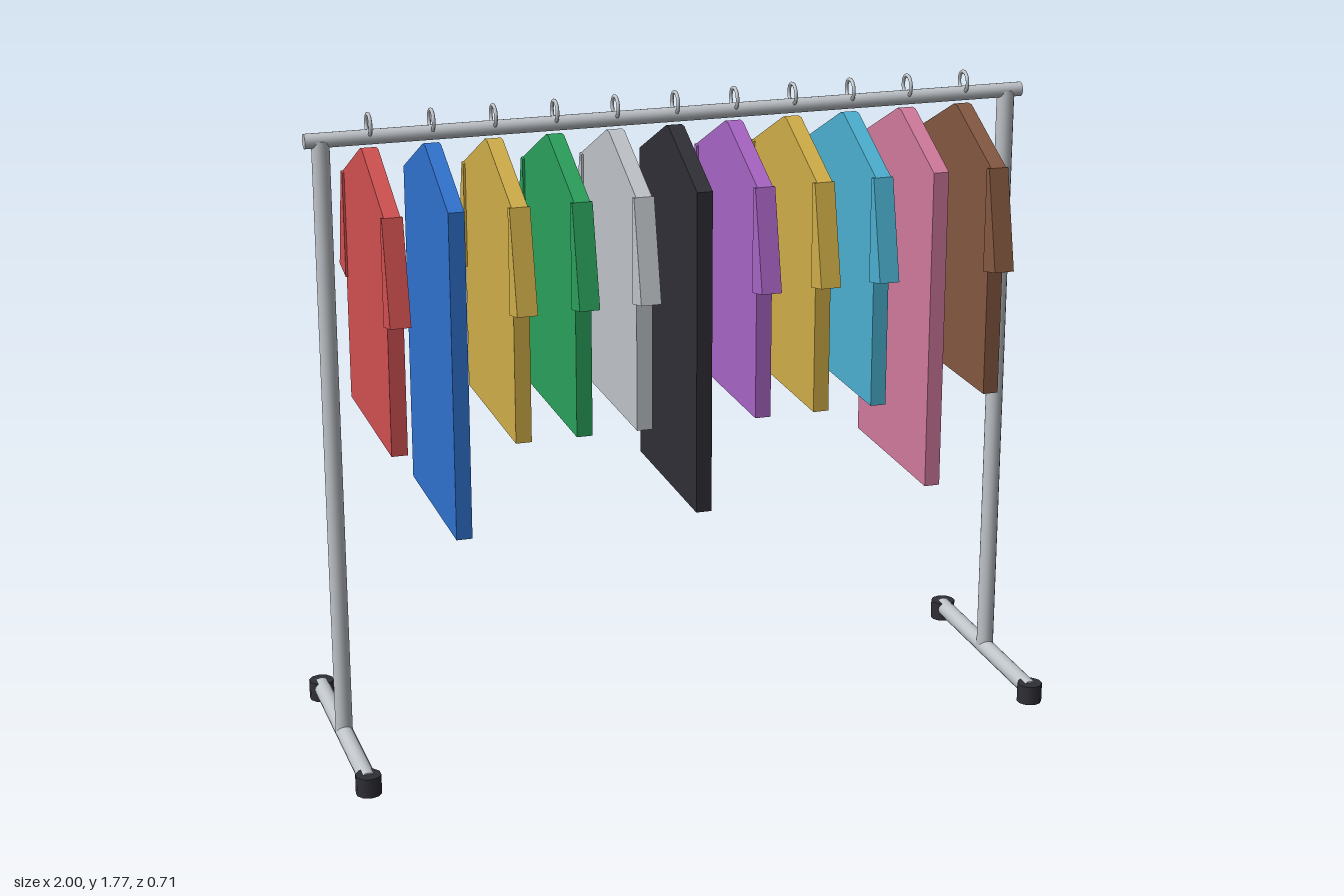
import * as THREE from 'three';

const mat = (name, color) => {
  const m = new THREE.MeshStandardMaterial({ color });
  m.name = name;
  return m;
};

export function createModel() {
  const root = new THREE.Group();
  root.name = 'clothesRack';

  const steel = mat('light grey', 0xbfc4c9);
  const black = mat('black', 0x2f2f36);
  const red = mat('red', 0xd15050);
  const blue = mat('blue', 0x3072cf);
  const yellow = mat('yellow', 0xd0ae48);
  const green = mat('green', 0x2aa05c);
  const purple = mat('purple', 0xa864c4);
  const cyan = mat('cyan', 0x4cb0d0);
  const pink = mat('pink', 0xd07a9b);
  const brown = mat('brown', 0x845841);

  const add = (parent, name, geometry, material, x = 0, y = 0, z = 0) => {
    const mesh = new THREE.Mesh(geometry, material);
    mesh.name = name;
    mesh.position.set(x, y, z);
    parent.add(mesh);
    return mesh;
  };

  // Flat panel drawn in (z, y) and given a thickness centred on x
  const panel = (points, thickness) => {
    const shape = new THREE.Shape(points.map(([z, y]) => new THREE.Vector2(z, y)));
    const g = new THREE.ExtrudeGeometry(shape, { depth: thickness, bevelEnabled: false });
    g.translate(0, 0, -thickness / 2);
    g.rotateY(-Math.PI / 2);
    return g;
  };

  // Frame: hanging bar, posts, base rails and rubber feet
  const bar = new THREE.CylinderGeometry(0.02, 0.02, 2, 16).rotateZ(Math.PI / 2);
  add(root, 'hangingBar', bar, steel, 0, 1.705, 0);
  const post = new THREE.CylinderGeometry(0.024, 0.024, 1.67, 16);
  const rail = new THREE.CylinderGeometry(0.024, 0.024, 0.64, 16).rotateX(Math.PI / 2);
  const foot = new THREE.CylinderGeometry(0.035, 0.035, 0.055, 10);
  for (const side of [-1, 1]) {
    const x = side * 0.957;
    add(root, 'post', post, steel, x, 0.87, 0);
    add(root, 'baseRail', rail, steel, x, 0.036, 0);
    for (const end of [-1, 1]) add(root, 'foot', foot, black, x, 0.0275, end * 0.318);
  }

  // Garment bodies: short shirt and long dress share the shoulder line
  const body = (hem) => panel([
    [-0.255, hem], [0.255, hem], [0.255, 1.555],
    [0.012, 1.674], [-0.012, 1.674], [-0.255, 1.555],
  ], 0.043);
  const shirtBody = body(0.917);
  const dressBody = body(0.665);

  // Sleeves, slightly thicker than the body
  const sleeve = panel([
    [0.238, 1.552], [0.238, 1.264], [0.317, 1.281], [0.255, 1.555],
  ], 0.055);

  const hook = new THREE.TorusGeometry(0.028, 0.005, 8, 20).rotateY(Math.PI / 2);

  const garments = [red, blue, yellow, green, steel, black, purple, yellow, cyan, pink, brown];
  const longOnes = [blue, black, pink];
  garments.forEach((material, i) => {
    const isLong = longOnes.includes(material);
    const garment = new THREE.Group();
    garment.name = isLong ? 'dress' : 'shirt';
    garment.position.x = (i - 5) * 0.166;
    root.add(garment);
    add(garment, 'hangerHook', hook, steel, 0, 1.737, 0);
    add(garment, 'garmentBody', isLong ? dressBody : shirtBody, material);
    if (!isLong) {
      add(garment, 'leftSleeve', sleeve, material);
      add(garment, 'rightSleeve', sleeve, material).rotation.y = Math.PI;
    }
  });

  return root;
}
